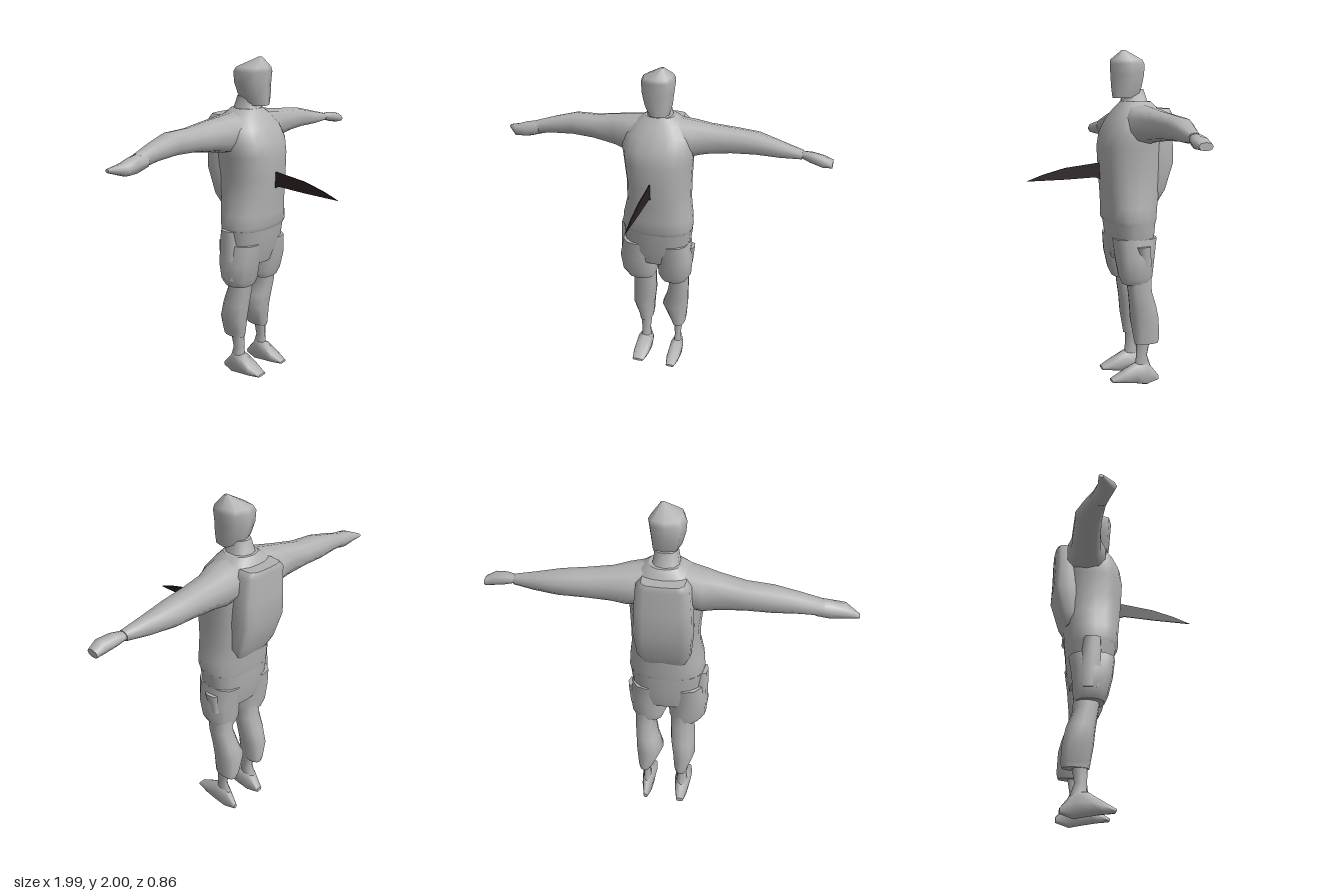
import * as THREE from 'three';

const clay = new THREE.MeshStandardMaterial({ color: 0xb2b2b2 });
clay.name = 'clay grey';
const dark = new THREE.MeshStandardMaterial({ color: 0x2a2021, side: THREE.DoubleSide });
dark.name = 'dark brown';

// Skin over rings along an axis (0 x, 1 y, 2 z), listed in increasing order.
// Row: [position, uMin, uMax, vMin, vMax], where u and v are the next two axes in the cycle x y z.
function loft(name, axis, rows, sides = 14, power = 0.85) {
  const pos = [], idx = [];
  const bend = (s) => Math.sign(s) * Math.abs(s) ** power;
  const add = (t, u, v) => {
    const p = [0, 0, 0];
    p[axis] = t; p[(axis + 1) % 3] = u; p[(axis + 2) % 3] = v;
    return pos.push(...p) / 3 - 1;
  };
  const ring = ([t, u0, u1, v0, v1]) => {
    const start = pos.length / 3;
    for (let j = 0; j < sides; j++) {
      const a = (j / sides) * Math.PI * 2;
      add(t, (u0 + u1) / 2 + bend(Math.cos(a)) * (u1 - u0) / 2,
        (v0 + v1) / 2 + bend(Math.sin(a)) * (v1 - v0) / 2);
    }
    return start;
  };
  const starts = rows.map(ring);
  for (let i = 0; i < rows.length - 1; i++) {
    for (let j = 0; j < sides; j++) {
      const k = (j + 1) % sides, a = starts[i], b = starts[i + 1];
      idx.push(a + j, a + k, b + k, a + j, b + k, b + j);
    }
  }
  // crisp end caps
  for (const [row, top] of [[rows[0], false], [rows[rows.length - 1], true]]) {
    const s = ring(row);
    const c = add(row[0], (row[1] + row[2]) / 2, (row[3] + row[4]) / 2);
    for (let j = 0; j < sides; j++) {
      const k = (j + 1) % sides;
      idx.push(c, s + (top ? j : k), s + (top ? k : j));
    }
  }
  const g = new THREE.BufferGeometry();
  g.setAttribute('position', new THREE.Float32BufferAttribute(pos, 3));
  g.setIndex(idx);
  g.computeVertexNormals();
  const m = new THREE.Mesh(g, clay);
  m.name = name;
  return m;
}

export function createModel() {
  const model = new THREE.Group();
  model.name = 'figure';

  // Shirt from hem to collar
  model.add(loft('torso', 1, [
    [0.99, -0.33, -0.05, -0.21, 0.21],
    [1.03, -0.34, -0.025, -0.215, 0.22],
    [1.10, -0.345, -0.025, -0.21, 0.215],
    [1.20, -0.36, -0.015, -0.185, 0.20],
    [1.32, -0.37, -0.005, -0.185, 0.20],
    [1.45, -0.37, 0.0, -0.20, 0.205],
    [1.53, -0.37, -0.015, -0.215, 0.215],
    [1.61, -0.37, -0.055, -0.20, 0.20],
    [1.67, -0.35, -0.10, -0.15, 0.15],
    [1.71, -0.31, -0.135, -0.085, 0.09],
  ], 20));

  // Padded pack on the back
  model.add(loft('backpack', 1, [
    [1.13, -0.345, -0.25, -0.12, 0.12],
    [1.20, -0.38, -0.25, -0.15, 0.15],
    [1.36, -0.43, -0.25, -0.165, 0.16],
    [1.50, -0.425, -0.25, -0.16, 0.155],
    [1.64, -0.425, -0.25, -0.15, 0.14],
    [1.67, -0.415, -0.26, -0.12, 0.11],
  ], 16, 0.5));

  // Neck and faceted head with an off-centre peak
  model.add(loft('neck', 1, [
    [1.63, -0.34, -0.10, -0.12, 0.12],
    [1.70, -0.30, -0.135, -0.075, 0.075],
    [1.78, -0.27, -0.14, -0.06, 0.06],
  ], 10));
  model.add(loft('head', 1, [
    [1.73, -0.235, -0.08, -0.04, 0.07],
    [1.79, -0.26, -0.075, -0.075, 0.085],
    [1.86, -0.275, -0.072, -0.095, 0.092],
    [1.92, -0.277, -0.068, -0.10, 0.10],
    [1.945, -0.265, -0.068, -0.085, 0.085],
    [2.0, -0.15, -0.13, 0.02, 0.04],
  ], 8, 0.75));

  // Arms held out, each ending in a flat hand
  model.add(loft('leftArm', 0, [
    [0.08, 1.48, 1.70, -0.35, -0.10],
    [0.20, 1.475, 1.68, -0.365, -0.125],
    [0.28, 1.49, 1.665, -0.355, -0.165],
    [0.42, 1.505, 1.65, -0.36, -0.19],
    [0.56, 1.51, 1.635, -0.36, -0.205],
    [0.70, 1.51, 1.60, -0.32, -0.215],
    [0.82, 1.52, 1.57, -0.285, -0.22],
  ], 10));
  model.add(loft('leftHand', 0, [
    [0.81, 1.53, 1.565, -0.28, -0.225],
    [0.87, 1.51, 1.57, -0.28, -0.20],
    [0.94, 1.495, 1.56, -0.275, -0.185],
    [0.99, 1.495, 1.535, -0.275, -0.20],
  ], 8));
  model.add(loft('rightHand', 0, [
    [-1.0, 1.50, 1.52, -0.29, -0.265],
    [-0.93, 1.475, 1.545, -0.285, -0.185],
    [-0.86, 1.47, 1.565, -0.295, -0.20],
    [-0.78, 1.49, 1.575, -0.31, -0.205],
  ], 8));
  model.add(loft('rightArm', 0, [
    [-0.82, 1.49, 1.57, -0.30, -0.21],
    [-0.70, 1.505, 1.605, -0.33, -0.21],
    [-0.56, 1.51, 1.64, -0.36, -0.205],
    [-0.42, 1.505, 1.645, -0.355, -0.19],
    [-0.28, 1.485, 1.67, -0.35, -0.165],
    [-0.20, 1.47, 1.68, -0.365, -0.125],
    [-0.08, 1.48, 1.70, -0.35, -0.10],
  ], 10));

  // Loose shorts
  model.add(loft('hips', 1, [
    [0.78, -0.30, -0.09, -0.17, 0.17],
    [0.88, -0.325, -0.06, -0.20, 0.20],
    [1.01, -0.335, -0.04, -0.215, 0.215],
  ], 18));
  for (const [name, x0, x1] of [['rightShort', -0.215, -0.005], ['leftShort', 0.005, 0.205]]) {
    const out = x0 < 0 ? [-0.025, 0] : [0, 0.02];
    model.add(loft(name, 1, [
      [0.645, -0.285, -0.115, x0 + 0.02, x1 - 0.015],
      [0.69, -0.295, -0.095, x0 + out[0] / 2, x1 + out[1] / 2],
      [0.80, -0.305, -0.07, x0 + out[0], x1 + out[1]],
      [0.92, -0.325, -0.055, x0, x1],
    ], 12));
  }
  // Side pockets
  model.add(loft('rightPocket', 1, [
    [0.70, -0.26, -0.15, -0.23, -0.15],
    [0.80, -0.27, -0.14, -0.238, -0.15],
    [1.01, -0.25, -0.15, -0.235, -0.15],
  ], 8, 0.6));
  model.add(loft('leftPocket', 1, [
    [0.76, -0.27, -0.20, 0.15, 0.215],
    [0.88, -0.26, -0.17, 0.15, 0.23],
  ], 8, 0.6));

  // Lower legs, gathered at the cuff
  model.add(loft('rightLeg', 1, [
    [0.27, -0.34, -0.19, -0.135, -0.055],
    [0.30, -0.348, -0.185, -0.14, -0.05],
    [0.40, -0.345, -0.17, -0.175, -0.04],
    [0.50, -0.325, -0.16, -0.172, -0.025],
    [0.60, -0.29, -0.145, -0.165, -0.02],
    [0.72, -0.29, -0.13, -0.165, -0.02],
  ], 12));
  model.add(loft('leftLeg', 1, [
    [0.27, -0.34, -0.19, 0.09, 0.168],
    [0.30, -0.348, -0.185, 0.075, 0.172],
    [0.42, -0.345, -0.17, 0.02, 0.185],
    [0.50, -0.325, -0.16, 0.05, 0.188],
    [0.60, -0.29, -0.145, 0.07, 0.195],
    [0.72, -0.29, -0.13, 0.05, 0.195],
  ], 12));

  // Ankles and wedge-shaped feet
  for (const [side, x0, x1] of [['right', -0.145, -0.042], ['left', 0.085, 0.168]]) {
    model.add(loft(side + 'Ankle', 1, [
      [0.10, -0.30, -0.19, x0 + 0.015, x1 - 0.015],
      [0.19, -0.27, -0.20, x0 + 0.025, x1 - 0.02],
      [0.30, -0.29, -0.20, x0 + 0.015, x1 - 0.01],
    ], 8));
    model.add(loft(side + 'Foot', 2, [
      [-0.345, x0 + 0.03, x1 - 0.03, 0.025, 0.055],
      [-0.27, x0 + 0.01, x1 - 0.01, 0.0, 0.15],
      [-0.20, x0, x1, 0.015, 0.15],
      [-0.12, x0, x1, 0.03, 0.10],
      [-0.045, x0 + 0.015, x1 - 0.015, 0.042, 0.058],
    ], 8, 0.65));
  }

  // Flat blade pointing forward from the belly (drawn as z, y)
  const blade = new THREE.Shape([
    [-0.03, 1.25], [0.02, 1.27], [0.20, 1.262], [0.43, 1.258],
    [0.33, 1.295], [0.20, 1.33], [0.0, 1.355], [-0.03, 1.355],
  ].map(([z, y]) => new THREE.Vector2(z, y)));
  const spike = new THREE.Mesh(
    new THREE.ExtrudeGeometry(blade, { depth: 0.006, bevelEnabled: false }), dark);
  spike.rotation.y = -Math.PI / 2;
  spike.position.x = 0.003;
  spike.name = 'frontBlade';
  model.add(spike);

  return model;
}
